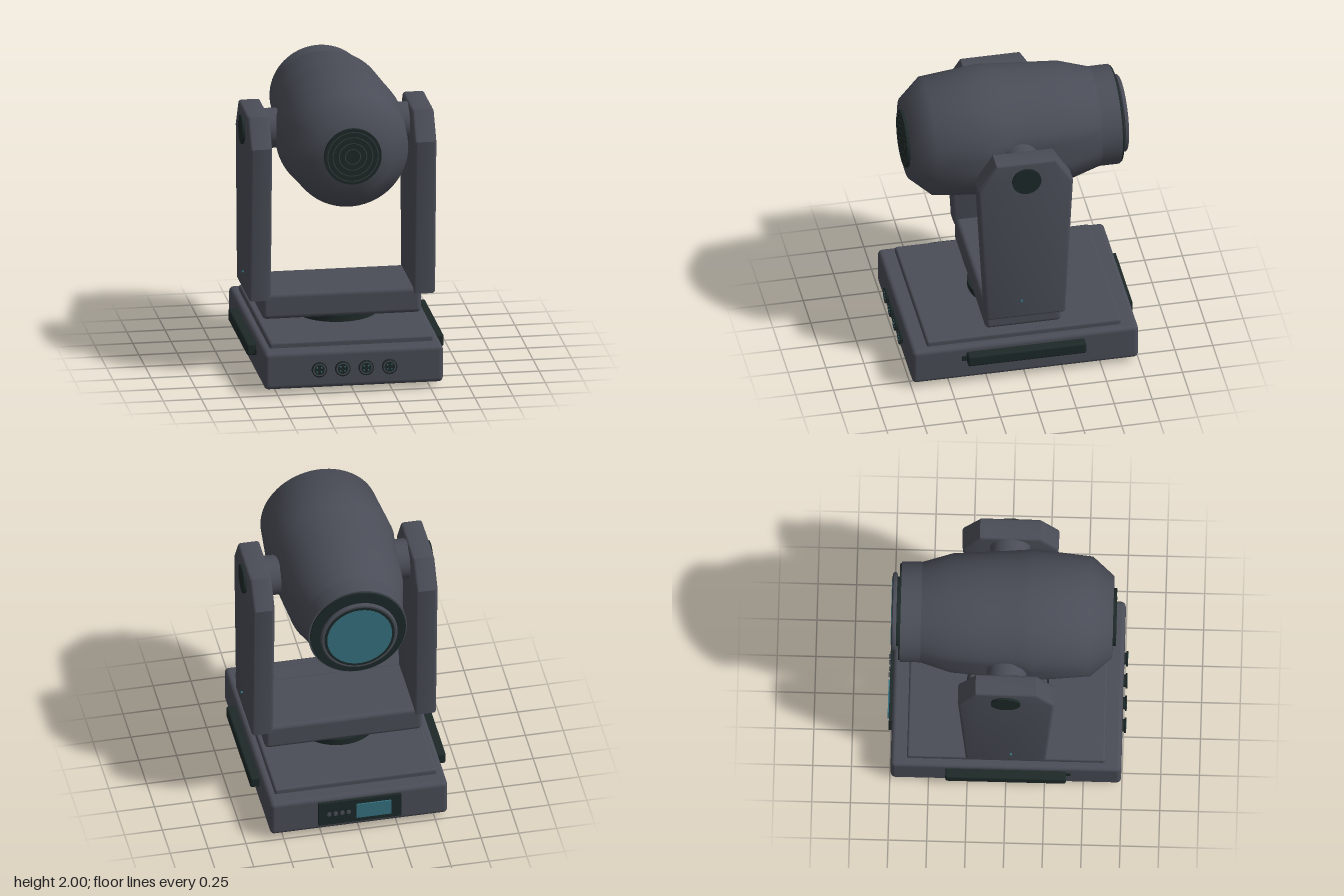
import * as THREE from 'three';
import { RoundedBoxGeometry } from 'three/addons/geometries/RoundedBoxGeometry.js';
import { toCreasedNormals } from 'three/addons/utils/BufferGeometryUtils.js';

const flat = (name, color) => Object.assign(new THREE.MeshStandardMaterial({ color }), { name });
const HEAD_Y = 1.577;

export function createModel() {
  const housing = flat('greyHousing', 0x4a4d57);
  const dark = flat('darkTrim', 0x1d2928);
  const ringGrey = flat('grilleRing', 0x35423f);
  const teal = flat('tealGlass', 0x35707f);

  const model = new THREE.Group();
  model.name = 'movingHeadLight';

  const add = (parent, name, geometry, material, x = 0, y = 0, z = 0) => {
    const mesh = new THREE.Mesh(geometry, material);
    mesh.name = name;
    mesh.position.set(x, y, z);
    parent.add(mesh);
    return mesh;
  };
  const group = (name, y = 0) => {
    const g = new THREE.Group();
    g.name = name;
    g.position.y = y;
    model.add(g);
    return g;
  };
  const rbox = (w, h, d, r) => new RoundedBoxGeometry(w, h, d, 3, r);
  // Cylinders lying along z or x
  const cylZ = (r, len, seg = 48) => new THREE.CylinderGeometry(r, r, len, seg).rotateX(Math.PI / 2);
  const cylX = (r, len, seg = 48) => new THREE.CylinderGeometry(r, r, len, seg).rotateZ(Math.PI / 2);
  // Solid of revolution about z; points are [radius, z] with z ascending
  const latheZ = (pts) => new THREE.LatheGeometry(pts.map(([r, z]) => new THREE.Vector2(r, z)), 72).rotateX(Math.PI / 2);

  // Base with top plate, feet and carrying handles
  const base = group('base');
  add(base, 'baseBox', rbox(1.17, 0.25, 1.49, 0.03), housing, 0, 0.16, 0);
  add(base, 'topPlate', rbox(1.07, 0.07, 1.28, 0.015), housing, 0, 0.288, 0);
  for (const s of [-1, 1]) {
    add(base, 'handle', rbox(0.08, 0.08, 0.78, 0.014), dark, s * 0.605, 0.203, 0);
    add(base, 'handleMount', new THREE.BoxGeometry(0.02, 0.035, 0.05), dark, s * 0.582, 0.197, 0.395);
    for (const t of [-1, 1]) {
      add(base, 'foot', new THREE.CylinderGeometry(0.057, 0.05, 0.05, 32), dark, s * 0.45, 0.025, t * 0.508);
    }
  }

  // Row of front sockets, each with four pins
  for (let i = 0; i < 4; i++) {
    const x = -0.23 + i * 0.1533;
    add(base, 'socketBody', cylZ(0.04, 0.04, 32), dark, x, 0.165, 0.745);
    add(base, 'socketRim', latheZ([[0.036, 0], [0.05, 0], [0.05, 0.012], [0.036, 0.012], [0.036, 0]]), dark, x, 0.165, 0.757);
    add(base, 'socketCollar', new THREE.RingGeometry(0.034, 0.042, 32), housing, x, 0.165, 0.7695);
    for (let k = 0; k < 4; k++) {
      const a = Math.PI / 4 + k * Math.PI / 2;
      add(base, 'socketPin', cylZ(0.005, 0.006, 10), teal, x + 0.02 * Math.cos(a), 0.165 + 0.02 * Math.sin(a), 0.767);
    }
  }

  // Rear control panel with display and buttons
  add(base, 'controlPanel', new THREE.BoxGeometry(0.545, 0.175, 0.03), dark, 0, 0.168, -0.75);
  add(base, 'display', new THREE.BoxGeometry(0.23, 0.108, 0.009), teal, -0.09, 0.168, -0.7695);
  for (let i = 0; i < 4; i++) {
    add(base, 'button', cylZ(0.014, 0.014, 20), housing, 0.075 + i * 0.043, 0.168, -0.768);
  }

  // Yoke: turntable, crossbar and two tapered arms
  const yoke = group('yoke');
  add(yoke, 'turntable', new THREE.CylinderGeometry(0.265, 0.265, 0.05, 64), dark, 0, 0.342, 0);
  add(yoke, 'crossbar', rbox(1.04, 0.175, 0.505, 0.03), housing, 0, 0.443, 0);

  const bevel = 0.02;
  const outline = new THREE.Shape([
    [-0.24, 0.507], [0.24, 0.507], [0.295, 1.525], [0.185, 1.695], [-0.185, 1.695], [-0.29, 1.525],
  ].map(([z, y]) => new THREE.Vector2(z, y)));
  const armGeometry = toCreasedNormals(new THREE.ExtrudeGeometry(outline, {
    depth: 0.145 - 2 * bevel, bevelThickness: bevel, bevelSize: bevel, bevelSegments: 3,
  }).translate(0, 0, -(0.145 / 2 - bevel)).rotateY(-Math.PI / 2), 0.6);
  for (const s of [-1, 1]) {
    add(yoke, 'arm', armGeometry, housing, s * 0.5375, 0, 0);
    add(yoke, 'pivot', cylX(0.13, 0.17), housing, s * 0.4, HEAD_Y, 0);
    add(yoke, 'pivotCap', cylX(0.095, 0.035), dark, s * 0.608, HEAD_Y, 0);
    add(yoke, 'armLight', cylX(0.008, 0.02, 12), teal, s * 0.612, 0.622, 0.033);
  }

  // Head: barrel shell, pinched at the sides to clear the arms
  const head = group('head', HEAD_Y);
  const shell = latheZ([
    [0, -0.57], [0.322, -0.57], [0.385, -0.365], [0.402, -0.13], [0.411, 0], [0.418, 0.08],
    [0.424, 0.165], [0.387, 0.54], [0.265, 0.68], [0, 0.682],
  ]);
  const pos = shell.attributes.position;
  for (let i = 0; i < pos.count; i++) {
    const z = pos.getZ(i);
    const limit = z > 0.1 ? 0.417 : z > 0.04 ? 0.402 : z > -0.2 ? 0.386 : 0.368;
    pos.setX(i, THREE.MathUtils.clamp(pos.getX(i), -limit, limit));
  }
  shell.computeVertexNormals();
  add(head, 'shell', toCreasedNormals(shell, 0.85), housing);

  // Front vent with concentric rings
  add(head, 'vent', cylZ(0.188, 0.03, 64), dark, 0, 0, 0.685);
  for (const r of [0.05, 0.09, 0.13, 0.165]) {
    add(head, 'ventRing', new THREE.RingGeometry(r - 0.003, r + 0.003, 64), ringGrey, 0, 0, 0.7015);
  }

  // Nose ring, dark rim, lens bezel and lens at the back
  const nose = latheZ([
    [0.295, -0.66], [0.295, -0.693], [0.325, -0.693], [0.325, -0.56], [0.3, -0.56],
  ]);
  add(head, 'noseRing', toCreasedNormals(nose, 0.6), housing);
  add(head, 'noseRim', cylZ(0.315, 0.06, 72), dark, 0, 0, -0.675);
  add(head, 'lensNeck', cylZ(0.225, 0.04, 64), dark, 0, 0, -0.71);
  const bezel = latheZ([
    [0, -0.748], [0.225, -0.748], [0.244, -0.75], [0.253, -0.743], [0.253, -0.727], [0.244, -0.72], [0, -0.72],
  ]);
  add(head, 'lensBezel', toCreasedNormals(bezel, 0.6), housing);
  add(head, 'lensTrim', cylZ(0.232, 0.006, 64), dark, 0, 0, -0.749);
  add(head, 'lens', cylZ(0.214, 0.006, 64), teal, 0, 0, -0.752);

  return model;
}
